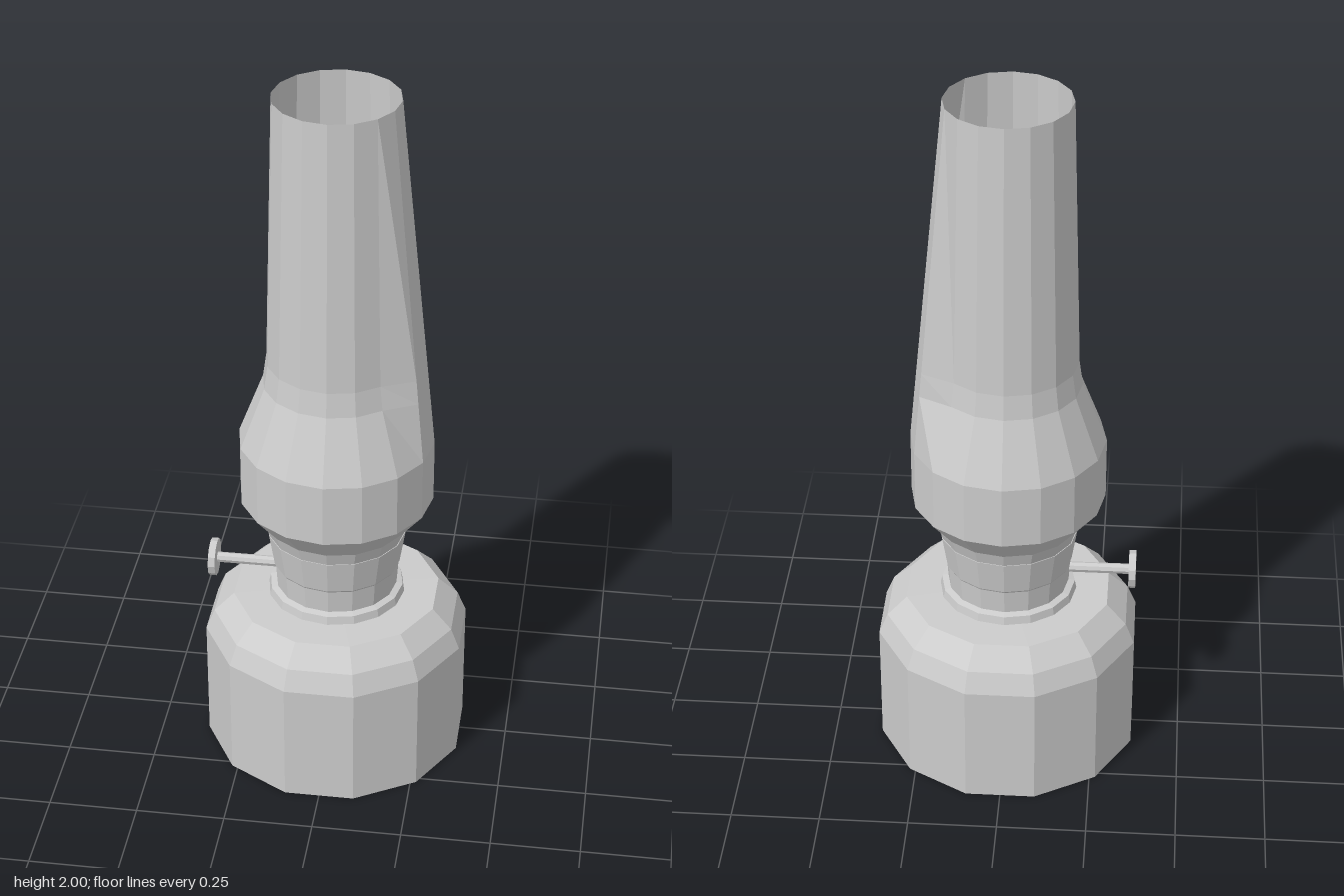
import * as THREE from 'three';

const grey = new THREE.MeshStandardMaterial({ color: 0xcccccc, flatShading: true });
const greyOpen = new THREE.MeshStandardMaterial({ color: 0xcccccc, flatShading: true, side: THREE.DoubleSide });

// faceted solid of revolution from [radius, height] pairs, listed bottom to top
function turned(name, profile, sides, material, turn = 0) {
  const points = profile.map(([r, y]) => new THREE.Vector2(r, y));
  const mesh = new THREE.Mesh(new THREE.LatheGeometry(points, sides, turn), material);
  mesh.name = name;
  return mesh;
}

// cylinder lying along x
function rod(name, x0, x1, radius, sides) {
  const mesh = new THREE.Mesh(new THREE.CylinderGeometry(radius, radius, x1 - x0, sides), grey);
  mesh.rotation.z = Math.PI / 2;
  mesh.position.x = (x0 + x1) / 2;
  mesh.name = name;
  return mesh;
}

export function createModel() {
  const lamp = new THREE.Group();
  lamp.name = 'oilLamp';

  // twelve-sided fuel tank with a bevelled shoulder
  lamp.add(turned('fuelTank', [
    [0, 0], [0.377, 0], [0.377, 0.36], [0.352, 0.42], [0.295, 0.475], [0, 0.48],
  ], 12, grey, Math.PI / 12));

  // burner: foot ring, waist and flared collar
  lamp.add(turned('burner', [
    [0.195, 0.475], [0.19, 0.5], [0.172, 0.505], [0.177, 0.575], [0.18, 0.58], [0.196, 0.68], [0, 0.685],
  ], 16, grey));

  // open glass chimney with a bulge
  const chimney = turned('glassChimney', [
    [0.194, 0.68], [0.207, 0.72], [0.272, 0.8], [0.272, 0.98], [0.203, 1.16], [0.193, 1.23], [0.171, 2],
  ], 16, greyOpen);

  // on the left side the glass runs straight from the bulge to the rim
  const p = chimney.geometry.attributes.position;
  for (let i = 0; i < p.count; i++) {
    const x = p.getX(i), y = p.getY(i), z = p.getZ(i);
    if (y < 1 || y > 1.9 || Math.abs(Math.atan2(z, x)) > 0.41) continue;
    const k = THREE.MathUtils.mapLinear(y, 0.98, 2, 0.272, 0.171) / Math.hypot(x, z);
    p.setXYZ(i, x * k, y, z * k);
  }
  lamp.add(chimney);

  // wick adjuster
  const adjuster = new THREE.Group();
  adjuster.name = 'wickAdjuster';
  adjuster.position.set(0, 0.545, 0.004);
  adjuster.add(rod('adjusterShaft', -0.35, -0.15, 0.015, 8));
  adjuster.add(rod('adjusterKnob', -0.363, -0.343, 0.054, 12));
  lamp.add(adjuster);

  return lamp;
}
